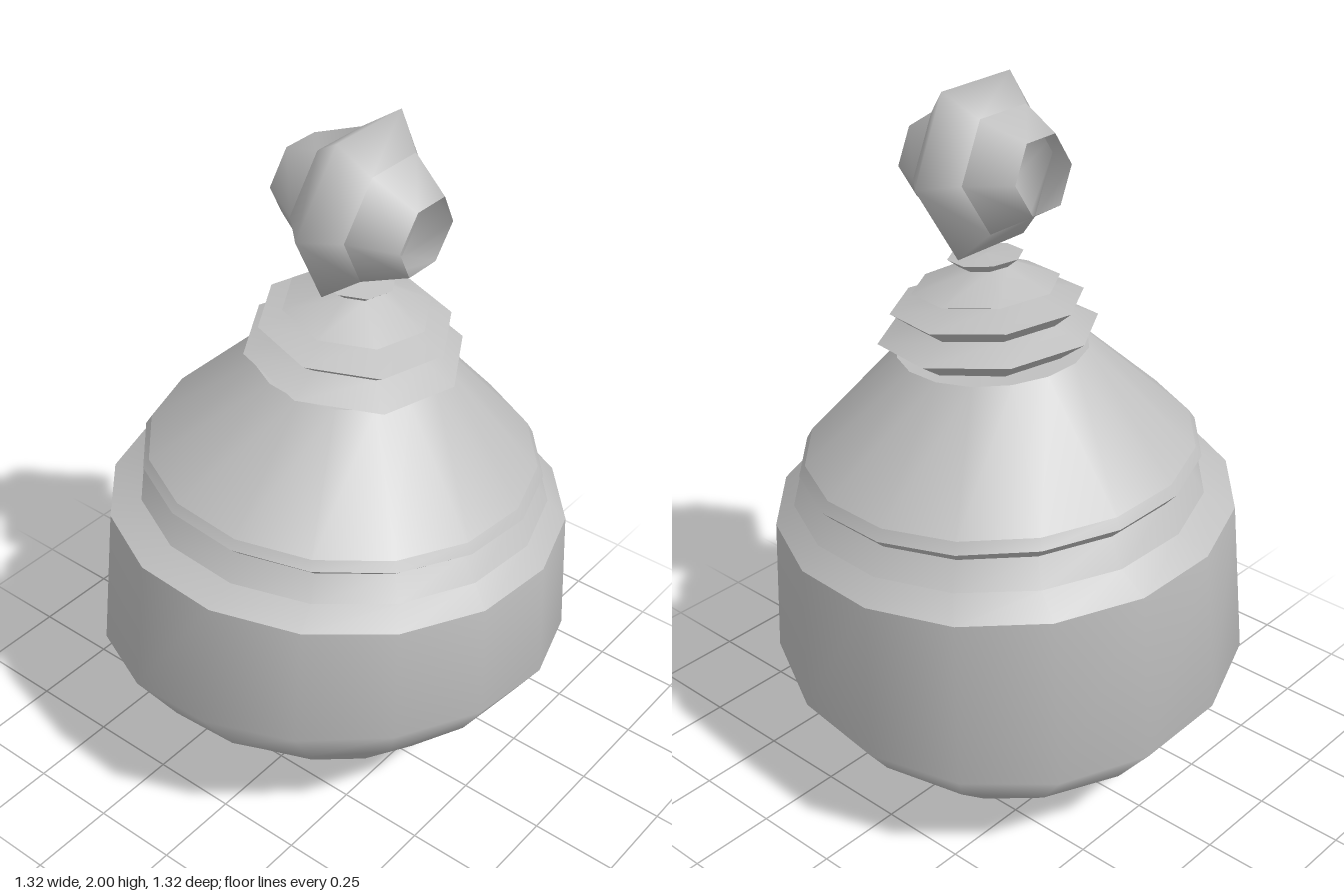
import * as THREE from 'three';
import { mergeGeometries } from 'three/addons/utils/BufferGeometryUtils.js';

// One smooth band through rings [cx, cy, cz, radius, slopeX, slopeZ], bottom to top
function band(rings, sides, phase) {
  const pos = [], idx = [];
  for (const [cx, cy, cz, r, sx = 0, sz = 0] of rings) {
    for (let i = 0; i < sides; i++) {
      const a = phase + (i / sides) * Math.PI * 2;
      const dx = r * Math.cos(a), dz = r * Math.sin(a);
      pos.push(cx + dx, cy + sx * dx + sz * dz, cz + dz);
    }
  }
  for (let k = 0; k < rings.length - 1; k++) {
    for (let i = 0; i < sides; i++) {
      const j = (i + 1) % sides;
      const a = k * sides + i, b = k * sides + j;
      idx.push(a, a + sides, b, b, a + sides, b + sides);
    }
  }
  const g = new THREE.BufferGeometry();
  g.setAttribute('position', new THREE.Float32BufferAttribute(pos, 3));
  g.setIndex(idx);
  g.computeVertexNormals();
  return g;
}

// A hard edge at every ring: each pair of rings is its own band
function steps(rings, sides, phase) {
  const bands = rings.slice(1).map((ring, k) => band([rings[k], ring], sides, phase));
  return mergeGeometries(bands);
}

export function createModel() {
  const group = new THREE.Group();
  const grey = new THREE.MeshStandardMaterial({ color: 0xc0c0c0, side: THREE.DoubleSide });
  grey.name = 'grey';
  const add = (name, geometry) => {
    const mesh = new THREE.Mesh(geometry, grey);
    mesh.name = name;
    group.add(mesh);
    return mesh;
  };
  const twist = -0.14;

  // Round bowl, leaning a little
  const shoulder = [0.005, 0.845, -0.01, 0.64, -0.01, 0.055];
  add('bowl', band([
    [-0.04, 0.005, 0, 0.001],
    [-0.03, 0.036, 0.04, 0.205, 0.12, 0.13],
    [0.01, 0.12, 0.02, 0.385, 0.12, 0.16],
    [0.02, 0.3, 0, 0.57, 0.14, 0.09],
    [0, 0.435, 0.005, 0.668, 0.1, 0.11],
    shoulder,
  ], 16, twist));

  // Recessed neck between bowl and lid
  const neck = [0.015, 0.96, -0.025, 0.525, -0.03, 0.045];
  add('neck', steps([
    shoulder,
    [0.015, 0.892, -0.025, 0.57, -0.015, 0.04],
    neck,
  ], 16, twist));

  // Conical lid with a thin rim
  add('lid', steps([
    neck,
    [0.015, 0.99, -0.02, 0.555, -0.035, 0.05],
    [0.015, 1.018, -0.02, 0.538, -0.035, 0.045],
    [0.03, 1.3, -0.03, 0.26, -0.05, 0.03],
    [0.03, 1.31, -0.03, 0.001],
  ], 16, twist));

  // Stepped eight-sided collar ending in a small knob: [y, radius]
  const collar = [
    [1.28, 0.21], [1.34, 0.3], [1.38, 0.21], [1.42, 0.262], [1.45, 0.15],
    [1.468, 0.2], [1.525, 0.07], [1.55, 0.102], [1.555, 0.001],
  ];
  add('collar', steps(
    collar.map(([y, r], i) => [0.045 + Math.min(i, 6) * 0.002, y, -0.028, r, -0.1, 0]),
    8, twist));

  // Hollow six-sided hanging ring, open at both ends: [position along axis, radius]
  const profile = [[-0.206, 0.108], [-0.085, 0.173], [0, 0.254], [0.085, 0.173], [0.206, 0.108]]
    .map(([y, r]) => [0, y, 0, r]);
  const ring = add('hangingRing', mergeGeometries(
    [[0, 2], [1, 4], [3, 5]].map(([a, b]) => band(profile.slice(a, b), 6, Math.PI / 6))));
  ring.rotation.z = -Math.PI / 2 - 0.11;
  ring.position.set(0.086, 1.782, 0);

  return group;
}
